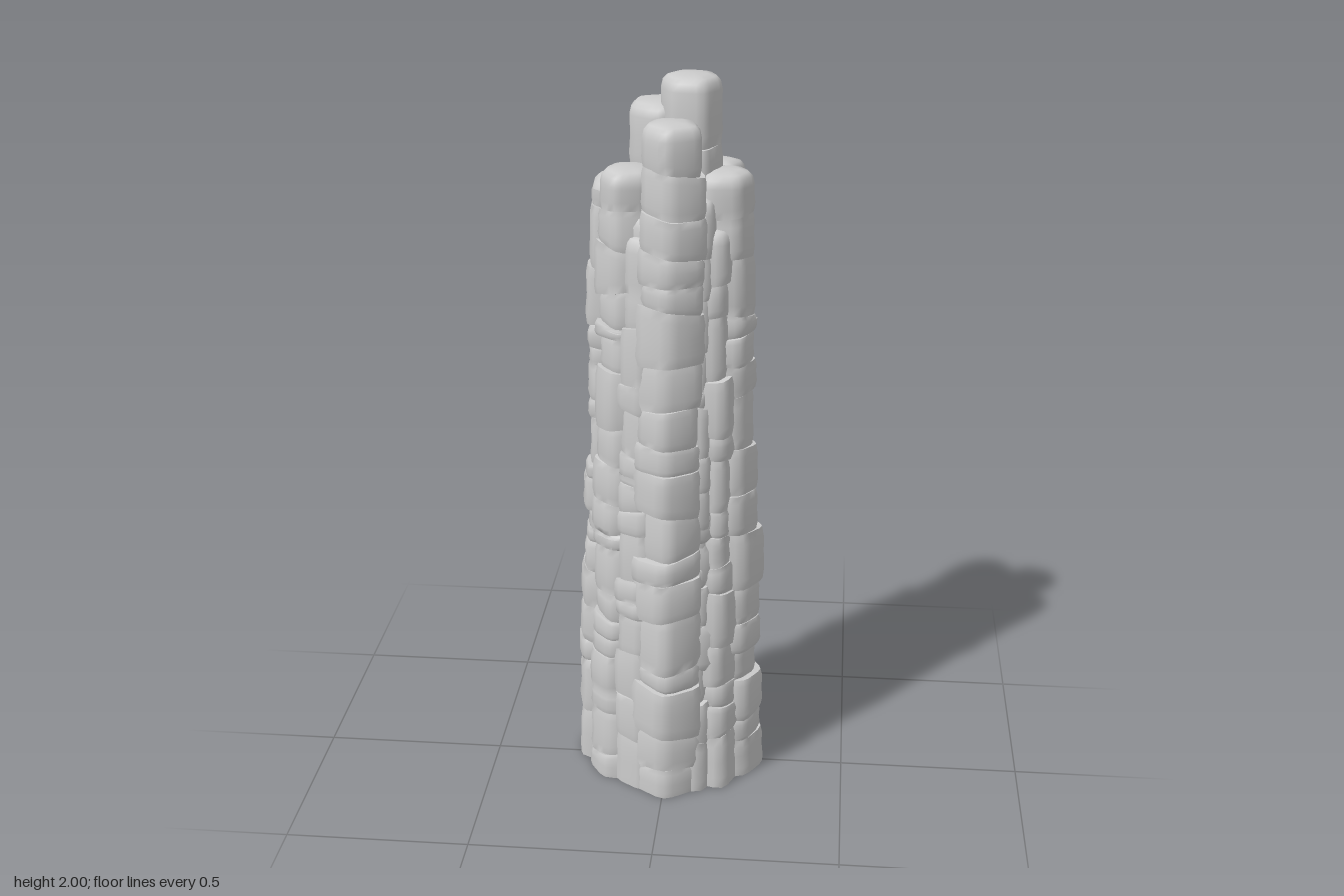
import * as THREE from 'three';
import { toCreasedNormals } from 'three/addons/utils/BufferGeometryUtils.js';

// Small seeded generator so the rock is always the same
function seeded(seed) {
  let s = seed * 7919 + 17;
  return () => {
    s = (s * 16807) % 2147483647;
    return s / 2147483647;
  };
}

const PER_EDGE = 4;

// Outline of a rough polygon with slightly rounded corners
function outline(radii, turn) {
  const n = radii.length;
  const corners = radii.map((r, i) => {
    const a = turn + (i / n) * Math.PI * 2;
    return new THREE.Vector2(Math.cos(a) * r, Math.sin(a) * r);
  });
  const pts = [];
  for (let i = 0; i < n; i++) {
    for (let k = 0; k < PER_EDGE; k++) pts.push(corners[i].clone().lerp(corners[(i + 1) % n], k / PER_EDGE));
  }
  const m = pts.length;
  return pts.map((p, i) =>
    p.clone().multiplyScalar(2).add(pts[(i + 1) % m]).add(pts[(i + m - 1) % m]).multiplyScalar(0.25));
}

// A leaning column of stacked, uneven blocks, lofted from cross-sections
function rockColumn({ foot, top, r0, r1, h, sides, turn, seed }) {
  const rnd = seeded(seed);
  const jitter = (amount) => (rnd() - 0.5) * 2 * amount;
  for (let i = 0; i < 5; i++) rnd();
  const base = Array.from({ length: sides }, () => 1.07 + jitter(0.07));
  const pos = [], index = [];
  const count = sides * PER_EDGE;
  let rings = 0;

  const addRing = (pts, y, scale, dx, dz, tilt) => {
    const t = Math.min(y / h, 1);
    const r = THREE.MathUtils.lerp(r0, r1, t) * scale;
    const cx = THREE.MathUtils.lerp(foot[0], top[0], t) + dx;
    const cz = THREE.MathUtils.lerp(foot[1], top[1], t) + dz;
    for (const p of pts) {
      const lift = (p.x * tilt[0] + p.y * tilt[1]) * scale;
      pos.push(cx + p.x * r, Math.max(0, y + lift), cz + p.y * r);
    }
    rings++;
  };

  let y = 0, tilt = [0, 0];
  while (y < h - 0.001) {
    let step = 0.045 + rnd() * 0.12;
    if (h - y - step < 0.08) step = h - y;
    const last = y + step >= h - 0.001;
    const pts = outline(base.map((b) => b + jitter(0.1)), turn + jitter(0.08));
    const dx = jitter(0.006), dz = jitter(0.006), size = 1 + jitter(0.04);
    const next = last ? [0, 0] : [jitter(0.014), jitter(0.014)];
    if (y === 0) addRing(pts, 0, 0, dx, dz, tilt);
    addRing(pts, y, size * (y === 0 ? 1 : 0.96), dx, dz, tilt);
    addRing(pts, y + step * 0.2, size * 1.01, dx, dz, tilt);
    addRing(pts, y + step * 0.5, size * (1 + jitter(0.025)), dx, dz, tilt);
    if (last) {
      // Shoulder and softly domed cap
      addRing(pts, h - 0.035, size, dx, dz, next);
      addRing(pts, h - 0.014, size * 0.94, dx, dz, next);
      addRing(pts, h - 0.003, size * 0.8, dx, dz, next);
      addRing(pts, h + 0.002, size * 0.5, dx, dz, next);
      addRing(pts, h + 0.004, 0, dx, dz, next);
    } else {
      addRing(pts, y + step * 0.82, size * 1.01, dx, dz, next);
      addRing(pts, y + step, size * 0.96, dx, dz, next);
    }
    tilt = next;
    y += step;
  }

  for (let j = 0; j < rings - 1; j++) {
    for (let i = 0; i < count; i++) {
      const a = j * count + i, b = j * count + ((i + 1) % count);
      index.push(a, a + count, b, b, a + count, b + count);
    }
  }
  const g = new THREE.BufferGeometry();
  g.setAttribute('position', new THREE.Float32BufferAttribute(pos, 3));
  g.setIndex(index);
  return toCreasedNormals(g, 1.0);
}

export function createModel() {
  const group = new THREE.Group();
  group.name = 'rockPillar';
  const material = new THREE.MeshStandardMaterial({ color: 0xcccccc });

  // name, foot x z, top x z, foot radius, top radius, height, sides, turn
  const columns = [
    ['core', 0, 0, 0.01, 0, 0.19, 0.14, 1.66, 8, 0.2],
    ['summitColumn', 0.05, 0, 0.055, -0.005, 0.1, 0.084, 1.996, 6, 0.1],
    ['summitBackColumn', -0.02, -0.06, -0.015, -0.06, 0.1, 0.088, 1.92, 6, 0.5],
    ['frontColumn', 0.0, 0.145, 0.02, 0.122, 0.1, 0.082, 1.9, 5, 1.57],
    ['backColumn', 0.0, -0.14, -0.005, -0.148, 0.09, 0.085, 1.835, 6, 0.5],
    ['rightOuterColumn', -0.172, -0.05, -0.122, -0.02, 0.1, 0.085, 1.73, 6, 0.3],
    ['rightFrontColumn', -0.125, 0.045, -0.095, 0.035, 0.092, 0.078, 1.765, 6, 0.9],
    ['rightBackColumn', -0.15, -0.085, -0.12, -0.075, 0.085, 0.075, 1.62, 4, 0.8],
    ['leftOuterColumn', 0.17, 0.0, 0.145, 0.022, 0.1, 0.078, 1.76, 6, 0.0],
    ['leftFrontColumn', 0.115, 0.07, 0.11, 0.06, 0.095, 0.068, 1.62, 5, 1.1],
    ['leftBackColumn', 0.14, -0.085, 0.13, -0.11, 0.108, 0.064, 1.75, 5, -1.43],
    ['rightFrontInfill', -0.065, 0.11, -0.05, 0.1, 0.08, 0.062, 1.6, 5, 0.3],
    ['leftFrontInfill', 0.055, 0.105, 0.075, 0.08, 0.085, 0.058, 1.7, 5, 0.9],
    ['leftBackInfill', 0.065, -0.125, 0.065, -0.115, 0.075, 0.06, 1.6, 5, 0.1],
    ['rightBackInfill', -0.075, -0.115, -0.07, -0.11, 0.078, 0.065, 1.62, 5, 0.4],
  ];
  columns.forEach(([name, fx, fz, tx, tz, r0, r1, h, sides, turn], i) => {
    const geometry = rockColumn({ foot: [fx, fz], top: [tx, tz], r0, r1, h, sides, turn, seed: i + 3 });
    const mesh = new THREE.Mesh(geometry, material);
    mesh.name = name;
    group.add(mesh);
  });
  return group;
}
